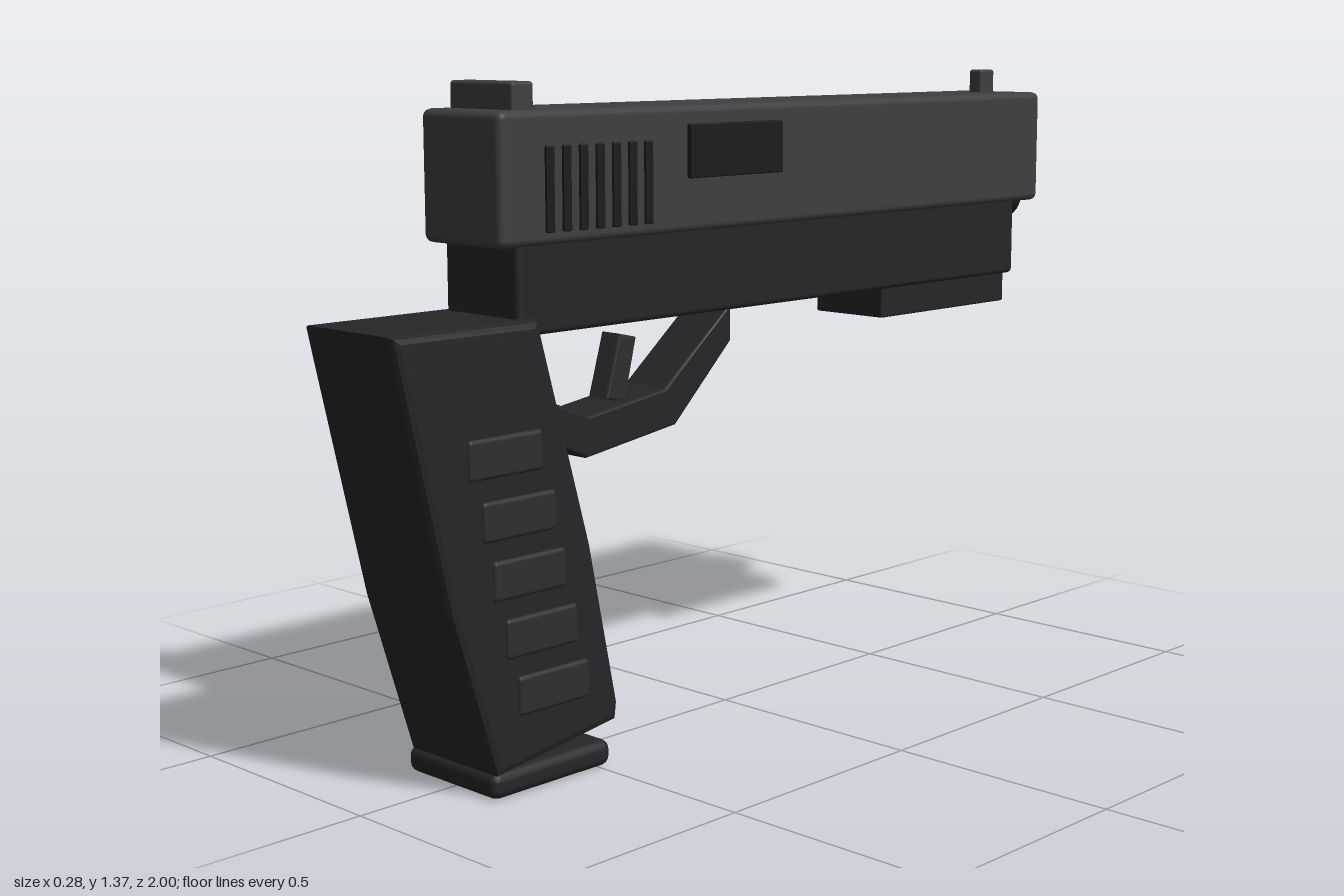
import * as THREE from 'three';
import { RoundedBoxGeometry } from 'three/addons/geometries/RoundedBoxGeometry.js';

const paint = (color) => new THREE.MeshStandardMaterial({ color });

export function createModel() {
  const model = new THREE.Group();
  const slideMat = paint(0x3e3f41);
  const frameMat = paint(0x262628);
  const darkMat = paint(0x1c1c1d);
  const padMat = paint(0x2e2e2f);

  function add(name, geometry, material) {
    const mesh = new THREE.Mesh(geometry, material);
    mesh.name = name;
    model.add(mesh);
    return mesh;
  }

  // Rounded box given by its x, y and z ranges
  function block(name, [x0, x1], [y0, y1], [z0, z1], radius, material) {
    const geometry = new RoundedBoxGeometry(x1 - x0, y1 - y0, z1 - z0, 2, radius);
    geometry.translate((x0 + x1) / 2, (y0 + y1) / 2, (z0 + z1) / 2);
    return add(name, geometry, material);
  }

  // Side outline of [z, y] points, extruded across x with a bevel inside the outline
  function sidePlate(name, points, width, bevel, material) {
    const shape = new THREE.Shape(points.map(([z, y]) => new THREE.Vector2(z, y)));
    const geometry = new THREE.ExtrudeGeometry(shape, {
      depth: width - 2 * bevel,
      bevelEnabled: true,
      bevelThickness: bevel,
      bevelSize: bevel,
      bevelOffset: -bevel,
      bevelSegments: 2,
    });
    geometry.translate(0, 0, -(width / 2 - bevel));
    geometry.rotateY(-Math.PI / 2);
    return add(name, geometry, material);
  }

  // Upper body
  block('slide', [-0.117, 0.117], [1.06, 1.317], [-0.977, 0.725], 0.016, slideMat);
  block('frame', [-0.108, 0.108], [0.889, 1.075], [-0.893, 0.678], 0.012, frameMat);
  block('accessoryRail', [-0.098, 0.098], [0.823, 0.9], [-0.868, -0.412], 0.005, frameMat);
  block('ejectionPort', [0.1, 0.129], [1.17, 1.279], [-0.044, 0.231], 0.003, darkMat);

  // Sights
  block('rearSight', [-0.092, 0.092], [1.3, 1.37], [0.617, 0.672], 0.007, slideMat);
  block('frontSight', [-0.018, 0.018], [1.3, 1.37], [-0.924, -0.871], 0.006, slideMat);

  // Barrel end with a softened rim, lying along z
  const barrelProfile = [[0, 0], [0.058, 0], [0.058, 0.19], [0.05, 0.2], [0, 0.2]];
  const barrel = new THREE.LatheGeometry(barrelProfile.map(([r, y]) => new THREE.Vector2(r, y)), 20);
  barrel.rotateX(-Math.PI / 2);
  barrel.translate(0, 1.068, -0.798);
  add('barrel', barrel, darkMat);

  // Grip and its base
  sidePlate('grip', [
    [0.998, 0.924], [0.982, 0.85], [0.875, 0.385], [0.77, 0.047],
    [0.455, 0.092], [0.45, 0.13], [0.52, 0.468], [0.648, 0.924],
  ], 0.27, 0.016, frameMat);
  block('gripBase', [-0.135, 0.135], [0.002, 0.056], [0.47, 0.78], 0.02, frameMat);

  // Trigger guard and trigger
  sidePlate('triggerGuard', [
    [0.65, 0.71], [0.46, 0.62], [0.21, 0.655], [0.043, 0.815],
    [0.043, 0.895], [0.24, 0.735], [0.455, 0.705], [0.65, 0.785],
  ], 0.12, 0.006, frameMat);
  sidePlate('trigger', [
    [0.337, 0.856], [0.29, 0.845], [0.323, 0.715], [0.376, 0.725],
  ], 0.055, 0.005, padMat);

  // Raised details mirrored on both sides
  const padCentres = [[0.74, 0.676], [0.708, 0.554], [0.684, 0.436], [0.655, 0.318], [0.626, 0.2]];
  for (const side of [-1, 1]) {
    const across = (inner, outer) => (side > 0 ? [inner, outer] : [-outer, -inner]);
    for (let i = 0; i < 7; i++) {
      const z = 0.343 + i * 0.0437;
      block('slideSerration', across(0.1, 0.124), [1.085, 1.25], [z - 0.01, z + 0.01], 0.003, darkMat);
    }
    for (const [z, y] of padCentres) {
      block('gripPad', across(0.115, 0.142), [y - 0.04, y + 0.04], [z - 0.092, z + 0.092], 0.009, padMat);
    }
  }

  model.position.x = -0.002;
  return model;
}
